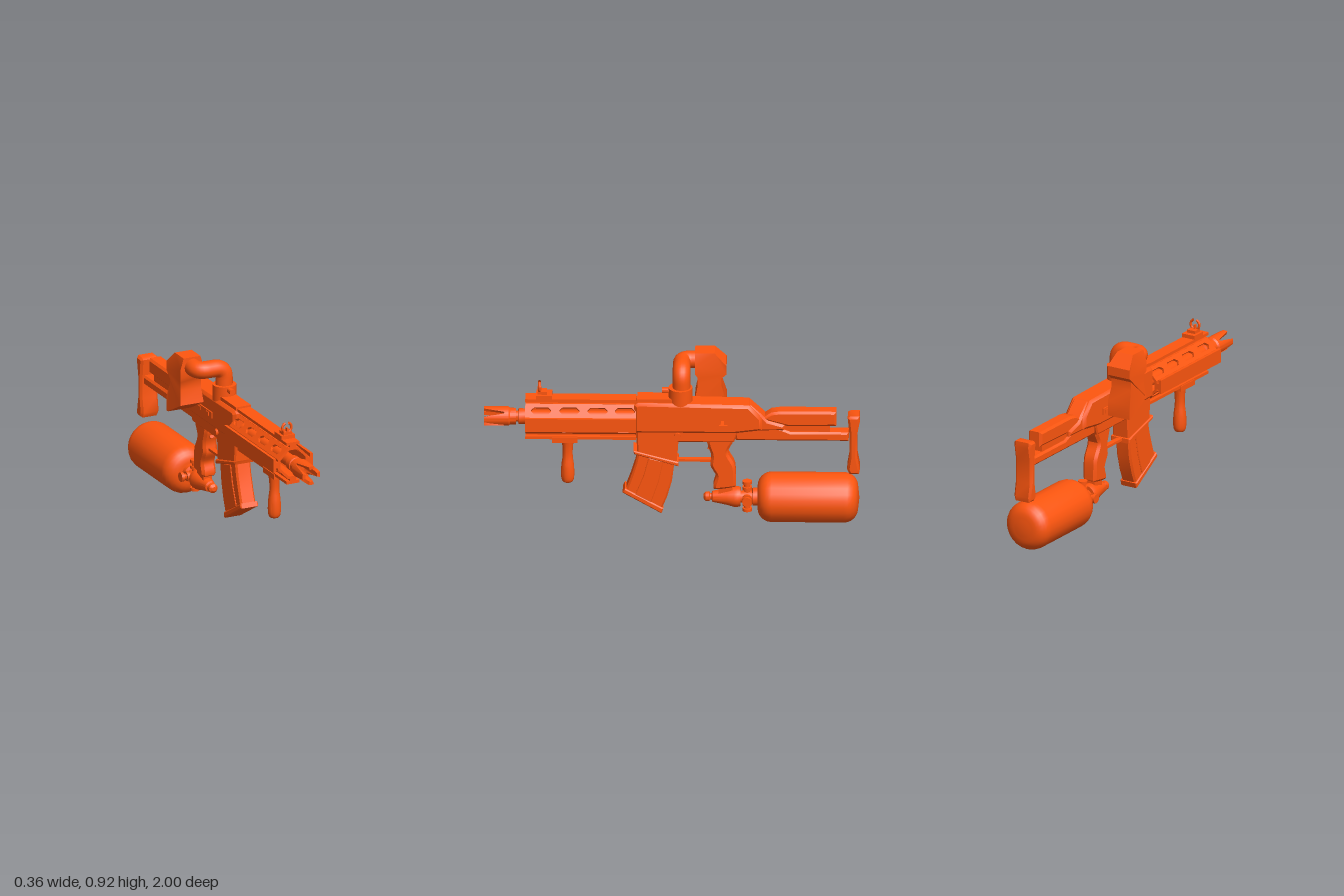
import * as THREE from 'three';
import { toCreasedNormals } from 'three/addons/utils/BufferGeometryUtils.js';

const mat = new THREE.MeshStandardMaterial({ color: 0xff560f, side: THREE.DoubleSide });
const AXIS = 0.598; // height of the barrel line

export function createModel() {
  const model = new THREE.Group();
  model.name = 'marker';
  const body = new THREE.Group();
  body.name = 'body';
  body.position.x = 0.043;
  model.add(body);

  const add = (name, geo, x = 0, y = 0, z = 0, parent = body) => {
    const mesh = new THREE.Mesh(toCreasedNormals(geo, 0.6), mat);
    mesh.name = name;
    mesh.position.set(x, y, z);
    parent.add(mesh);
    return mesh;
  };
  const box = (name, w, h, d, x, y, z, parent) =>
    add(name, new THREE.BoxGeometry(w, h, d), x, y, z, parent);
  const V = (p) => new THREE.Vector2(p[0], p[1]);
  // Side outline in (z, y), extruded across x with an optional bevel
  const sideGeo = (pts, half, bevel = 0, curved = false) => {
    let outline = pts.map(V);
    if (curved) {
      const c = new THREE.CatmullRomCurve3(pts.map((p) => new THREE.Vector3(p[0], p[1], 0)), true, 'catmullrom', 0.4);
      outline = c.getPoints(40).slice(0, -1).map((p) => new THREE.Vector2(p.x, p.y));
    }
    const depth = 2 * (half - bevel);
    const g = new THREE.ExtrudeGeometry(new THREE.Shape(outline), {
      depth, bevelEnabled: bevel > 0, bevelSize: bevel, bevelThickness: bevel, bevelOffset: -bevel, bevelSegments: 1,
    });
    return g.translate(0, 0, -depth / 2).rotateY(-Math.PI / 2);
  };
  const side = (name, pts, half, bevel, curved) => add(name, sideGeo(pts, half, bevel, curved));
  // Lathe around z: profile given as (radius, z)
  const turnZ = (pts, seg = 20) => new THREE.LatheGeometry(pts.map(V), seg).rotateX(Math.PI / 2);

  // Receiver
  side('upperReceiver', [[0.2, 0.53], [0.2, 0.69], [0.18, 0.705], [-0.41, 0.695], [-0.48, 0.62], [-0.48, 0.55], [-0.33, 0.53]], 0.065, 0.015);
  side('lowerReceiver', [[0.19, 0.56], [0.185, 0.41], [-0.025, 0.34], [-0.035, 0.475], [-0.33, 0.475], [-0.36, 0.56]], 0.052, 0.008);
  box('topCover', 0.09, 0.03, 0.2, 0, 0.708, 0.085);
  box('portCover', 0.012, 0.035, 0.25, -0.066, 0.602, -0.18);
  for (const z of [-0.1, -0.2, -0.28]) box('portRib', 0.012, 0.02, 0.03, -0.071, 0.602, z);
  add('receiverPin', new THREE.CylinderGeometry(0.018, 0.018, 0.13, 12).rotateZ(Math.PI / 2), 0, 0.515, -0.03);
  box('boltHandle', 0.06, 0.02, 0.018, 0.095, AXIS, -0.27);
  box('boltKnob', 0.016, 0.024, 0.045, 0.124, AXIS, -0.275);

  // Octagonal handguard: slotted diagonal panels and four T-shaped rails
  const panel = new THREE.Shape([[0.19, -0.041], [0.78, -0.041], [0.78, 0.041], [0.19, 0.041]].map(V));
  for (const z of [0.695, 0.545, 0.395, 0.25]) {
    const l = 0.053, h = 0.02, c = 0.016;
    panel.holes.push(new THREE.Path([[z - l, -h + c], [z - l, h - c], [z - l + c, h], [z + l - c, h],
      [z + l, h - c], [z + l, -h + c], [z + l - c, -h], [z - l + c, -h]].map(V)));
  }
  for (let i = 0; i < 4; i++) {
    const quarter = new THREE.Group();
    quarter.name = 'handguardQuarter';
    quarter.position.y = AXIS;
    quarter.rotation.z = i * Math.PI / 2;
    body.add(quarter);
    const g = new THREE.ExtrudeGeometry(panel, { depth: 0.014, bevelEnabled: false })
      .rotateY(-Math.PI / 2).translate(0.083, 0, 0).rotateZ(Math.PI / 4);
    add('slottedPanel', g, 0, 0, 0, quarter);
    box('railBase', 0.014, 0.06, 0.59, 0.081, 0, 0.485, quarter);
    box('railStem', 0.02, 0.034, 0.59, 0.095, 0, 0.485, quarter);
    box('railCap', 0.016, 0.076, 0.59, 0.109, 0, 0.485, quarter);
  }

  // Barrel and pronged muzzle
  add('barrel', turnZ([[0, 0.15], [0.034, 0.15], [0.034, 0.77], [0.042, 0.775], [0.042, 0.815], [0.03, 0.82], [0.03, 0.86], [0, 0.86]]), 0, AXIS, 0);
  const muzzle = turnZ([[0.03, 0.83], [0.044, 0.83], [0.044, 0.86], [0.052, 0.87], [0.052, 1], [0.034, 1], [0.034, 0.87], [0.03, 0.83]], 64);
  const mp = muzzle.attributes.position;
  for (let i = 0; i < mp.count; i++) {
    if (mp.getZ(i) < 0.99) continue;
    const a = Math.atan2(mp.getY(i), mp.getX(i)) / (Math.PI / 2);
    const off = Math.abs(a - Math.round(a)) * 2; // 0 on a prong, 1 in a notch
    mp.setZ(i, 1 - 0.11 * THREE.MathUtils.clamp((off - 0.4) / 0.5, 0, 1));
  }
  add('muzzle', muzzle, 0, AXIS, 0);

  // Front sight
  box('sightBase', 0.08, 0.022, 0.085, 0, 0.725, 0.68);
  box('sightFoot', 0.05, 0.02, 0.05, 0, 0.742, 0.69);
  add('sightRing', new THREE.TorusGeometry(0.027, 0.007, 8, 20, Math.PI * 1.75).rotateZ(Math.PI * 0.625), 0, 0.774, 0.705);
  box('sightPost', 0.008, 0.03, 0.02, 0, 0.758, 0.705);

  // Fore grip
  box('foreGripMount', 0.085, 0.03, 0.135, 0, 0.477, 0.57);
  add('foreGrip', new THREE.LatheGeometry(new THREE.SplineCurve([[0, 0.215], [0.026, 0.22], [0.035, 0.25], [0.034, 0.31],
    [0.027, 0.37], [0.028, 0.42], [0.034, 0.47]].map(V)).getPoints(20), 20), 0, 0, 0.555);

  // Curved magazine with lips
  side('magazine', [[0.175, 0.43], [0.195, 0.34], [0.22, 0.26], [0.25, 0.175], [0.055, 0.075], [0.025, 0.15], [0, 0.24], [-0.015, 0.36]], 0.045, 0.01);
  side('magazineRib', [[0.125, 0.38], [0.15, 0.28], [0.195, 0.165], [0.11, 0.12], [0.07, 0.24], [0.045, 0.36]], 0.05, 0.004);
  side('magazineWellLip', [[0.205, 0.425], [0.2, 0.405], [-0.035, 0.335], [-0.035, 0.36]], 0.06, 0.006);
  side('magazineFloor', [[0.25, 0.2], [0.262, 0.175], [0.055, 0.055], [0.045, 0.085]], 0.052, 0.006);

  // Trigger, guard and pistol grip
  side('pistolGrip', [[-0.19, 0.485], [-0.325, 0.485], [-0.297, 0.41], [-0.335, 0.33], [-0.34, 0.225], [-0.33, 0.205], [-0.23, 0.19],
    [-0.222, 0.22], [-0.235, 0.27], [-0.205, 0.33], [-0.21, 0.39]], 0.042, 0.014, true);
  box('triggerGuard', 0.03, 0.014, 0.22, 0, 0.352, -0.115);
  side('trigger', [[-0.185, 0.48], [-0.205, 0.48], [-0.215, 0.44], [-0.2, 0.415], [-0.19, 0.42], [-0.2, 0.445]], 0.012);

  // Stock
  side('stockBeam', [[-0.33, 0.555], [-0.48, 0.6], [-0.55, 0.565], [-0.63, 0.532], [-0.94, 0.532], [-0.94, 0.482], [-0.34, 0.482]], 0.04, 0.01);
  side('stockShoulder', [[-0.38, 0.69], [-0.42, 0.69], [-0.485, 0.63], [-0.51, 0.6], [-0.6, 0.575], [-0.6, 0.545], [-0.38, 0.54]], 0.05, 0.012);
  side('cheekRest', [[-0.48, 0.61], [-0.53, 0.645], [-0.58, 0.652], [-0.875, 0.652], [-0.875, 0.57], [-0.62, 0.565], [-0.55, 0.585]], 0.042, 0.012);
  side('cheekSupport', [[-0.56, 0.58], [-0.84, 0.58], [-0.84, 0.52], [-0.56, 0.52]], 0.026);
  side('buttPad', [[-0.935, 0.62], [-0.95, 0.63], [-0.998, 0.63], [-1, 0.6], [-0.985, 0.52], [-0.985, 0.4], [-1, 0.32], [-0.995, 0.292],
    [-0.945, 0.292], [-0.932, 0.32], [-0.945, 0.4], [-0.945, 0.52]], 0.053, 0.012);

  // Air tank, valve and adapter under the grip
  const tank = [[0, -0.997], [0.045, -0.992]];
  for (let i = 0; i <= 6; i++) {
    const a = (i / 6) * Math.PI / 2;
    tank.push([0.06 + 0.075 * Math.sin(a), -0.915 - 0.075 * Math.cos(a)]);
  }
  for (let i = 0; i <= 6; i++) {
    const a = (i / 6) * Math.PI / 2;
    tank.push([0.06 + 0.075 * Math.cos(a), -0.53 + 0.075 * Math.sin(a)]);
  }
  tank.push([0, -0.455]);
  add('airTank', turnZ(tank, 24), 0, 0.136, 0);
  add('tankValve', turnZ([[0, -0.47], [0.048, -0.47], [0.048, -0.43], [0.033, -0.425], [0.033, -0.36], [0, -0.36]]), 0, 0.136, 0);
  add('adapter', turnZ([[0, -0.365], [0.052, -0.365], [0.056, -0.35], [0.056, -0.33], [0.045, -0.29], [0.03, -0.215], [0.018, -0.21],
    [0.018, -0.203], [0.027, -0.198], [0.025, -0.178], [0.012, -0.168], [0, -0.168]]), 0, 0.136, 0);
  box('adapterMount', 0.05, 0.06, 0.075, 0, 0.185, -0.285);
  for (let i = 0; i < 4; i++) {
    const arm = new THREE.Group();
    arm.name = 'valveKnob';
    arm.position.set(0, 0.142, -0.4);
    arm.rotation.z = i * Math.PI / 2;
    body.add(arm);
    add('knobStem', new THREE.CylinderGeometry(0.016, 0.016, 0.08, 12), 0, 0.04, 0, arm);
    add('knobCap', new THREE.CylinderGeometry(0.026, 0.026, 0.016, 12), 0, 0.079, 0, arm);
    add('knobFlange', new THREE.CylinderGeometry(0.026, 0.026, 0.016, 12), 0, 0.046, 0, arm);
  }

  // Feed neck and elbow pipe to the hopper
  add('feedNeck', new THREE.CylinderGeometry(0.064, 0.064, 0.14, 24), 0, 0.705, -0.045);
  add('clampScrew', new THREE.CylinderGeometry(0.016, 0.016, 0.05, 12).rotateX(Math.PI / 2), 0, 0.757, 0.028);
  const P = (x, y, z) => new THREE.Vector3(x, y, z);
  const path = new THREE.CurvePath();
  path.add(new THREE.LineCurve3(P(0, 0.64, -0.05), P(0, 0.81, -0.05)));
  path.add(new THREE.QuadraticBezierCurve3(P(0, 0.81, -0.05), P(0, 0.869, -0.05), P(-0.06, 0.869, -0.05)));
  path.add(new THREE.LineCurve3(P(-0.06, 0.869, -0.05), P(-0.1, 0.869, -0.05)));
  path.add(new THREE.QuadraticBezierCurve3(P(-0.1, 0.869, -0.05), P(-0.152, 0.869, -0.05), P(-0.152, 0.869, -0.1)));
  path.add(new THREE.LineCurve3(P(-0.152, 0.869, -0.1), P(-0.152, 0.869, -0.15)));
  add('elbowPipe', new THREE.TubeGeometry(path, 48, 0.047, 20));

  // Hopper: waisted block, narrowed at the top and the middle
  const hopper = sideGeo([[-0.12, 0.925], [-0.225, 0.925], [-0.287, 0.86], [-0.287, 0.81], [-0.262, 0.785], [-0.262, 0.74],
    [-0.287, 0.66], [-0.287, 0.58], [-0.27, 0.58], [-0.12, 0.66], [-0.135, 0.74], [-0.135, 0.785], [-0.12, 0.81], [-0.12, 0.86]], 0.069);
  const hp = hopper.attributes.position;
  for (let i = 0; i < hp.count; i++) {
    const y = hp.getY(i);
    if (y > 0.92) hp.setX(i, hp.getX(i) * 0.72);
    else if (y > 0.73 && y < 0.79) hp.setX(i, hp.getX(i) * 0.88);
  }
  add('hopper', hopper, -0.155, 0, 0);

  return model;
}
